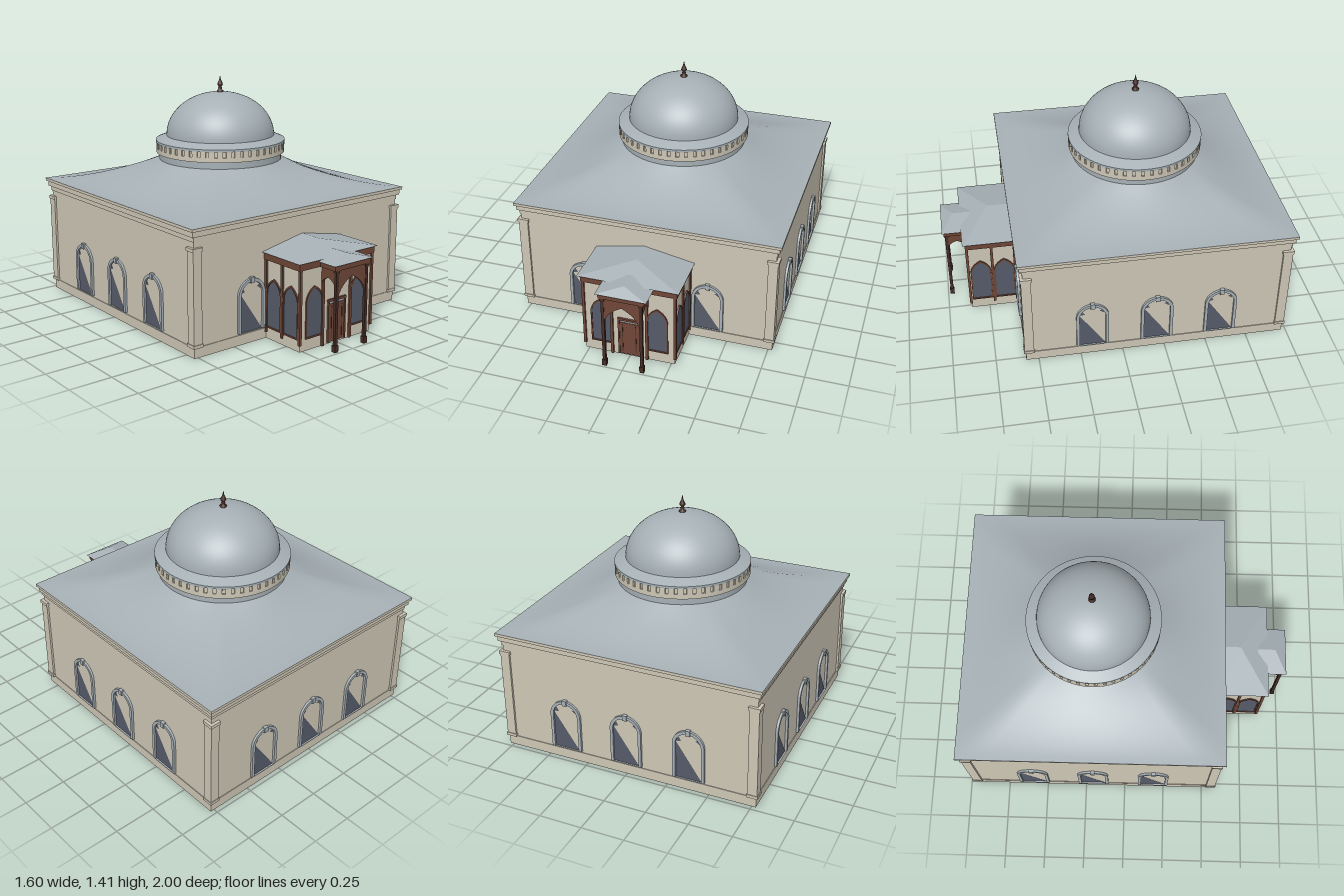
import * as THREE from 'three';

const mat = (name, color, side = THREE.FrontSide) => {
  const m = new THREE.MeshStandardMaterial({ color, side });
  m.name = name;
  return m;
};

export function createModel() {
  const stone = mat('stone', 0xcec7b6);
  const slate = mat('slate', 0xa6b0b5, THREE.DoubleSide);
  const glass = mat('glass', 0x565b69, THREE.DoubleSide);
  const wood = mat('wood', 0x6f4637);
  const darkWood = mat('darkWood', 0x452c26);

  const model = new THREE.Group();
  const CZ = -0.2; // centre of the main hall

  const add = (parent, name, geo, material, x = 0, y = 0, z = 0) => {
    const m = new THREE.Mesh(geo, material);
    m.name = name;
    m.position.set(x, y, z);
    parent.add(m);
    return m;
  };
  // box given by its centre in x and z and its lower and upper height
  const box = (parent, name, material, w, d, y0, y1, x = 0, z = 0) =>
    add(parent, name, new THREE.BoxGeometry(w, y1 - y0, d), material, x, (y0 + y1) / 2, z);
  const lathe = (parent, name, material, pts, seg = 64) =>
    add(parent, name, new THREE.LatheGeometry(pts.map(p => new THREE.Vector2(...p)), seg), material, 0, 0, CZ);
  const extrude = (shape, depth) =>
    new THREE.ExtrudeGeometry(shape, { depth, bevelEnabled: false, curveSegments: 12 });

  // round-headed outline
  const roundArch = (C, r, y0, spring) => {
    const s = new C();
    s.moveTo(-r, y0).lineTo(r, y0).lineTo(r, spring);
    s.absarc(0, spring, r, 0, Math.PI, false);
    s.lineTo(-r, y0);
    return s;
  };
  // pointed outline
  const pointedArch = (C, w, y0, spring, top) => {
    const s = new C();
    const k = top - spring;
    s.moveTo(-w, y0).lineTo(w, y0).lineTo(w, spring);
    s.quadraticCurveTo(w * 0.92, spring + k * 0.65, 0, top);
    s.quadraticCurveTo(-w * 0.92, spring + k * 0.65, -w, spring);
    s.lineTo(-w, y0);
    return s;
  };
  const polygon = pts => new THREE.Shape(pts.map(p => new THREE.Vector2(...p)));

  // ---- Main hall ----
  const hall = new THREE.Group();
  hall.name = 'hall';
  hall.position.z = CZ;
  model.add(hall);
  box(hall, 'walls', stone, 1.54, 1.54, 0, 0.67);
  box(hall, 'plinth', stone, 1.548, 1.548, 0, 0.06);
  [[0.775, 0.655, 0.685], [0.788, 0.685, 0.718], [0.8, 0.718, 0.735]].forEach(([h, a, b]) =>
    box(hall, 'cornice', stone, h * 2, h * 2, a, b));
  for (const sx of [-1, 1]) for (const sz of [-1, 1]) {
    const px = sx * 0.754, pz = sz * 0.754;
    box(hall, 'cornerPilaster', stone, 0.056, 0.056, 0.06, 0.62, px, pz);
    box(hall, 'pilasterCapital', stone, 0.066, 0.066, 0.602, 0.622, px, pz);
    box(hall, 'pilasterBase', stone, 0.064, 0.064, 0.06, 0.078, px, pz);
  }

  // ---- Hall windows: slate surround, keystone and glazing cut on the diagonal ----
  const surround = roundArch(THREE.Shape, 0.095, 0.07, 0.285);
  surround.holes.push(roundArch(THREE.Path, 0.077, 0.07, 0.285));
  const surroundGeo = extrude(surround, 0.014);
  const paneGeo = new THREE.ShapeGeometry([
    polygon([[-0.077, 0.07], [0.077, 0.07], [-0.077, 0.30]]),
    polygon([[-0.077, 0.30], [-0.045, 0.305], [-0.06, 0.333]]),
    polygon([[0.04, 0.325], [0.07, 0.305], [0.058, 0.335]]),
  ]);
  const hallWindow = (side, offset) => {
    const turn = new THREE.Group();
    turn.rotation.y = side * Math.PI / 2;
    hall.add(turn);
    const w = new THREE.Group();
    w.name = 'archedWindow';
    w.position.set(offset, 0, 0.77);
    turn.add(w);
    add(w, 'windowSurround', surroundGeo, slate);
    box(w, 'keystone', slate, 0.026, 0.02, 0.355, 0.388, 0, 0.01);
    add(w, 'windowGlass', paneGeo, glass, 0, 0, 0.003);
  };
  for (const x of [-0.38, 0.38]) hallWindow(0, x);
  for (const side of [1, 2, 3]) for (const x of [-0.38, 0, 0.38]) hallWindow(side, x);

  // ---- Sweeping roof: square eave blending into a round collar ----
  const N = 64, M = 12, pos = [], idx = [];
  for (let j = 0; j <= M; j++) for (let i = 0; i < N; i++) {
    const t = j / M, a = i / N * Math.PI * 2, c = Math.cos(a), s = Math.sin(a);
    const r = (1 - t) * 0.8 / Math.max(Math.abs(c), Math.abs(s)) + t * 0.38;
    pos.push(c * r, 0.735 + 0.163 * Math.pow(t, 1.7), s * r);
    if (j < M) {
      const p = j * N + i, q = j * N + (i + 1) % N;
      idx.push(p, p + N, q, q, p + N, q + N);
    }
  }
  const roofGeo = new THREE.BufferGeometry();
  roofGeo.setAttribute('position', new THREE.Float32BufferAttribute(pos, 3));
  roofGeo.setIndex(idx);
  roofGeo.computeVertexNormals();
  add(hall, 'sweptRoof', roofGeo, slate);

  // ---- Drum, dentils, dome and finial ----
  const ring = (name, material, r, y0, y1) =>
    add(hall, name, new THREE.CylinderGeometry(r, r, y1 - y0, 64), material, 0, (y0 + y1) / 2, 0);
  ring('drumCollar', slate, 0.38, 0.88, 0.942);
  ring('drumBand', stone, 0.398, 0.94, 0.968);
  ring('drumRecess', stone, 0.39, 0.968, 1.003);
  ring('drumTopBand', slate, 0.4, 1.003, 1.017);
  for (let i = 0; i < 48; i++) {
    const a = i / 48 * Math.PI * 2;
    const d = box(hall, 'dentil', stone, 0.034, 0.012, 0.966, 1.004, Math.sin(a) * 0.392, Math.cos(a) * 0.392);
    d.rotation.y = a;
  }
  lathe(model, 'domeSkirt', slate, [[0.4, 1.017], [0.33, 1.045]]);
  const dome = [];
  for (let i = 0; i <= 20; i++) {
    const a = i / 20 * Math.PI / 2;
    dome.push([0.334 * Math.cos(a), 1.043 + 0.265 * Math.sin(a)]);
  }
  lathe(model, 'dome', slate, dome);
  lathe(model, 'finial', darkWood, [[0.018, 1.302], [0.021, 1.314], [0.009, 1.322], [0.013, 1.33],
    [0.008, 1.338], [0.017, 1.35], [0.016, 1.36], [0.006, 1.38], [0, 1.41]], 16);

  // ---- Porch ----
  const porch = new THREE.Group();
  porch.name = 'porch';
  model.add(porch);
  const FRONT = 0.86;
  box(porch, 'porchWalls', stone, 0.54, 0.3, 0, 0.48, 0, FRONT - 0.15);
  box(porch, 'porchFascia', wood, 0.57, 0.31, 0.47, 0.513, 0, 0.715);
  for (const s of [-1, 1]) {
    for (const z of [0.578, 0.715, 0.862])
      box(porch, 'porchPost', wood, 0.016, 0.016, 0.04, 0.475, s * 0.272, z);
    box(porch, 'innerPost', wood, 0.016, 0.014, 0, 0.475, s * 0.105, 0.864);
  }

  // hipped roof with its ridge running back to the wall
  const hipRoof = (name, w, zBack, zFront, zPeak, yEave, yPeak) => {
    const L = [-w, yEave, zFront], R = [w, yEave, zFront], l = [-w, yEave, zBack], r = [w, yEave, zBack];
    const P = [0, yPeak, zPeak], p = [0, yPeak, zBack];
    const g = new THREE.BufferGeometry();
    const tri = [L, R, P, R, r, p, R, p, P, l, L, P, l, P, p, l, r, R, l, R, L, r, l, p];
    g.setAttribute('position', new THREE.Float32BufferAttribute(tri.flat(), 3));
    g.computeVertexNormals();
    add(porch, name, g, slate);
  };
  hipRoof('porchRoof', 0.3, 0.57, 0.885, 0.71, 0.514, 0.572);
  hipRoof('porticoRoof', 0.15, 0.82, 1, 0.93, 0.502, 0.54);

  // pointed porch windows
  const trim = pointedArch(THREE.Shape, 0.063, 0.068, 0.28, 0.368);
  trim.holes.push(pointedArch(THREE.Path, 0.055, 0.077, 0.28, 0.356));
  const trimGeo = extrude(trim, 0.008);
  const porchPaneGeo = new THREE.ShapeGeometry(pointedArch(THREE.Shape, 0.057, 0.075, 0.28, 0.358));
  const porchWindow = (x, z, ry) => {
    const w = new THREE.Group();
    w.name = 'porchWindow';
    w.position.set(x, 0, z);
    w.rotation.y = ry;
    porch.add(w);
    add(w, 'porchWindowTrim', trimGeo, wood);
    add(w, 'porchWindowGlass', porchPaneGeo, glass, 0, 0, 0.003);
  };
  for (const s of [-1, 1]) {
    porchWindow(s * 0.168, FRONT, 0);
    for (const z of [0.645, 0.787]) porchWindow(s * 0.27, z, s * Math.PI / 2);
  }

  // door
  box(porch, 'door', wood, 0.115, 0.01, 0.012, 0.235, 0, FRONT + 0.003);
  box(porch, 'transomLight', slate, 0.11, 0.006, 0.236, 0.25, 0, FRONT + 0.003);
  box(porch, 'doorHead', wood, 0.136, 0.016, 0.249, 0.263, 0, FRONT + 0.004);
  for (const s of [-1, 1]) {
    box(porch, 'doorJamb', wood, 0.01, 0.016, 0.01, 0.25, s * 0.062, FRONT + 0.004);
    box(porch, 'doorStile', darkWood, 0.004, 0.004, 0.03, 0.22, s * 0.04, FRONT + 0.008);
  }

  // portico: columns and pointed arch panels on three sides
  box(porch, 'porticoFascia', wood, 0.27, 0.125, 0.47, 0.502, 0, 0.927);
  for (const s of [-1, 1]) {
    box(porch, 'porticoColumn', darkWood, 0.018, 0.018, 0.03, 0.475, s * 0.112, 0.975);
    box(porch, 'columnFoot', darkWood, 0.026, 0.026, 0, 0.04, s * 0.112, 0.975);
    box(porch, 'columnCapital', darkWood, 0.026, 0.026, 0.455, 0.472, s * 0.112, 0.975);
  }
  const archPanel = (w, spring, apex) => {
    const k = apex - spring, s = new THREE.Shape();
    s.moveTo(-w, spring).quadraticCurveTo(-w * 0.85, spring + k * 0.65, 0, apex);
    s.quadraticCurveTo(w * 0.85, spring + k * 0.65, w, spring);
    s.lineTo(w, 0.472).lineTo(-w, 0.472).lineTo(-w, spring);
    return extrude(s, 0.012);
  };
  add(porch, 'frontArch', archPanel(0.106, 0.3, 0.423), wood, 0, 0, 0.969);
  const sideArch = archPanel(0.053, 0.37, 0.415);
  for (const s of [-1, 1]) add(porch, 'sideArch', sideArch, wood, s * 0.112 - 0.006, 0, 0.917).rotation.y = Math.PI / 2;

  return model;
}
